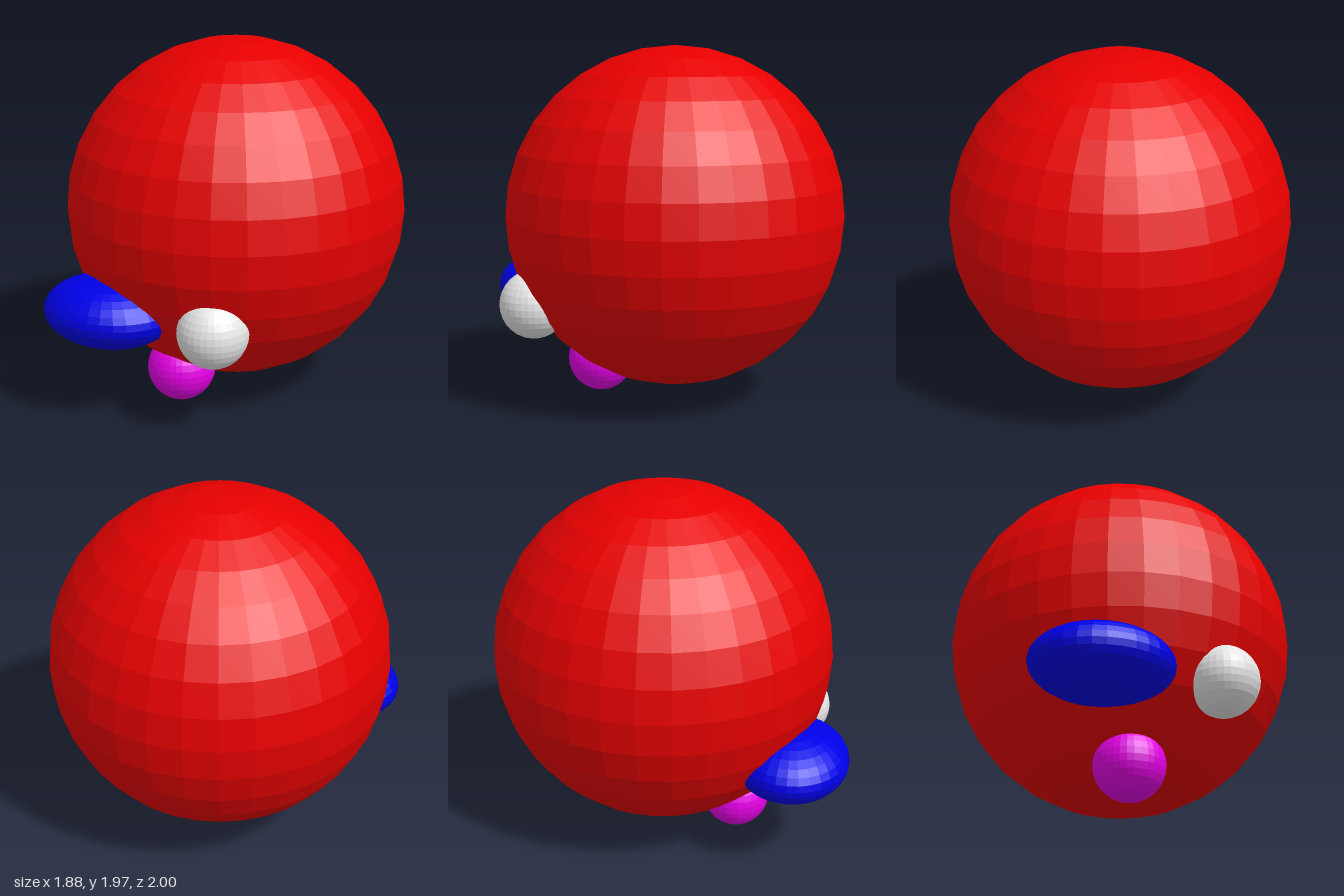
import * as THREE from 'three';

export function createModel() {
  const model = new THREE.Group();
  model.name = 'ballFace';

  const material = (name, color) => {
    const m = new THREE.MeshStandardMaterial({ color, flatShading: true });
    m.name = name;
    return m;
  };

  // Faceted ball stretched to the given radii
  const ball = (name, mat, position, radii) => {
    const mesh = new THREE.Mesh(new THREE.SphereGeometry(1, 32, 16), mat);
    mesh.name = name;
    mesh.position.set(...position);
    mesh.scale.set(...radii);
    model.add(mesh);
  };

  const r = 0.1875; // shared radius of the small features

  // Large round head
  ball('head', material('red', 0xff0000), [0, 1.03, -0.06], [0.9375, 0.9375, 0.9375]);

  // Mismatched eyes: wide on the right, round on the left
  ball('rightEye', material('blue', 0x0000ff), [-0.345, 0.575, 0.685], [2 * r, r, 0.315]);
  ball('leftEye', material('white', 0xffffff), [0.3, 0.575, 0.685], [r, r, r]);

  // Small ball under the eyes
  ball('mouth', material('magenta', 0xff00ff), [-0.095, r, 0.37], [r, r, r]);

  return model;
}
